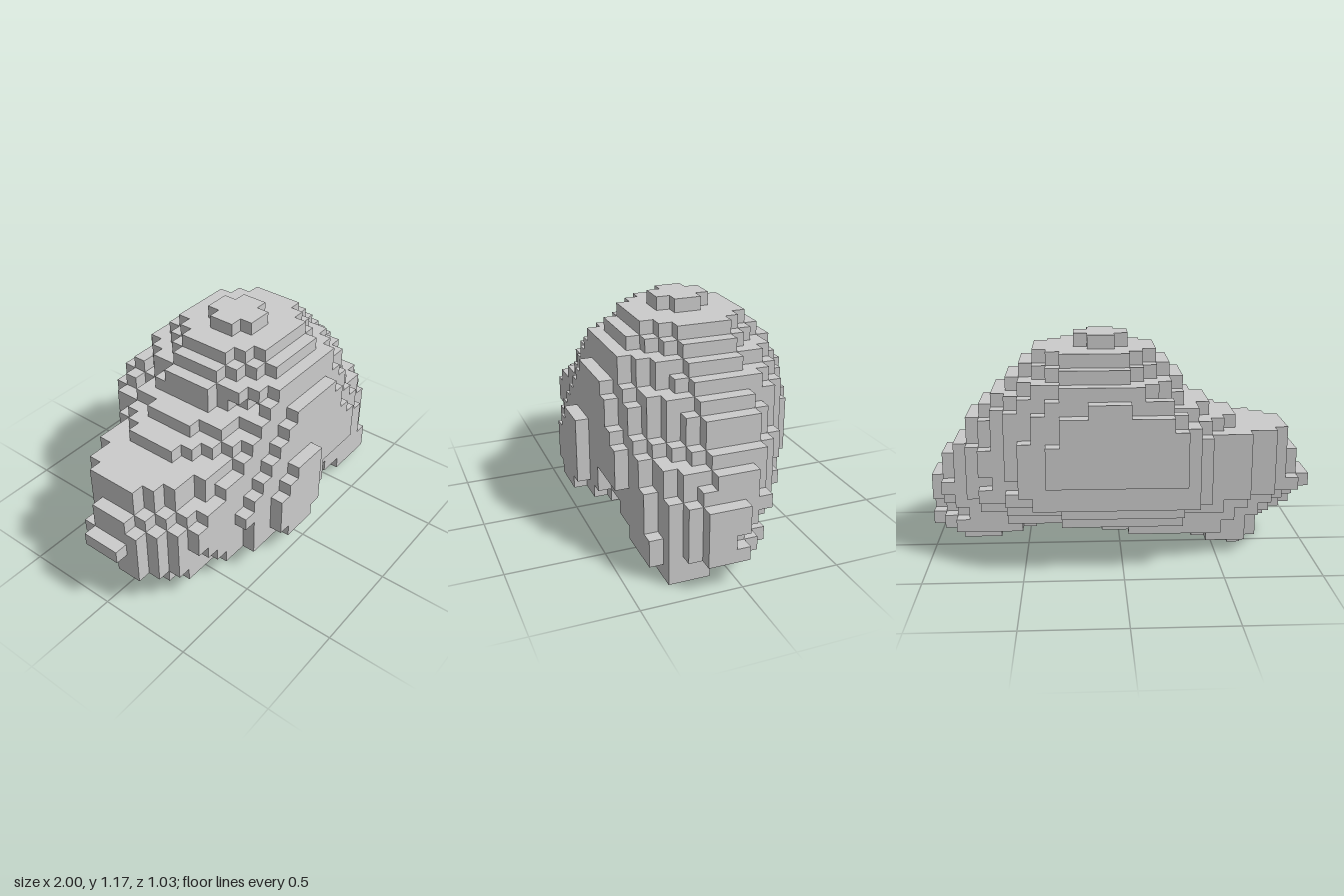
import * as THREE from 'three';
import { mergeGeometries } from 'three/addons/utils/BufferGeometryUtils.js';

const NX = 29, NY = 17, NZ = 15;
const S = 2 / NX; // edge of one block

// Rounded footprints per layer, from the ground up: x from, x to, z from, z to (in blocks)
const LAYERS = [
  [[5, 6, 7, 8], [24, 27, 9, 12]],
  [[4, 9, 5, 11], [22, 27, 8, 13]],
  [[3, 18, 4, 15], [20, 29, 5, 13]],
  [[1, 29, 3, 15]],
  [[1, 29, 2, 15]],
  [[0, 29, 1, 15]],
  [[1, 28, 1, 15]],
  [[1, 28, 0, 15]],
  [[2, 27, 0, 14]],
  [[2, 26, 0, 14]],
  [[6, 26, 0, 14]],
  [[8, 25, 0, 14]],
  [[10, 24, 0, 13]],
  [[10, 23, 1, 13]],
  [[11, 22, 2, 12]],
  [[12, 21, 3, 11]],
  [[14, 18, 5, 9]],
];

// Plan outline: x from, x to for each z slice, back to front
const PLAN = [
  [10, 20], [9, 22], [8, 23], [5, 25], [2, 26], [1, 28], [0, 28], [0, 29],
  [0, 29], [1, 29], [2, 28], [3, 27], [4, 26], [8, 22], [11, 16],
];

// Flat faces at the back and front: lowest layer, then x from, x to going up
const FACES = {
  0: { base: 7, rows: [[10, 20], [10, 20], [10, 20], [10, 19], [11, 19], [14, 17]] },
  1: { base: 5, rows: [[9, 21], [9, 22], [9, 22], [9, 22], [9, 22], [9, 21], [10, 21], [11, 20], [13, 19]] },
  12: {
    base: 1,
    rows: [[22, 26], [7, 26], [6, 25], [5, 25], [4, 25], [4, 24], [5, 24], [7, 23],
      [9, 22], [10, 22], [11, 21], [12, 20], [13, 20]],
  },
  13: {
    base: 2,
    rows: [[9, 17], [9, 18], [9, 18], [8, 22], [9, 22], [10, 22], [11, 21], [12, 20], [13, 20], [14, 19]],
  },
  14: { base: 2, rows: [[12, 15], [11, 16], [11, 16], [11, 16], [12, 16], [13, 16]] },
};

const within = (i, range) => range !== undefined && i >= range[0] && i < range[1];

// Rounded layer, tapering more towards the long tail on the right
function insideLayer(i, j, k, [x0, x1, z0, z1]) {
  const cx = j < 3 ? (x0 + x1) / 2 : Math.min(16.4, 12.3 + 0.36 * j);
  const cz = (z0 + z1) / 2;
  const dx = i + 0.5 - cx;
  const u = Math.abs(dx) / (dx < 0 ? cx - x0 : x1 - cx);
  const v = (k + 0.5 - cz) / (z1 - cz);
  const power = j < 3 || j > 12 ? 2 : dx < 0 ? 1.45 : 1.7;
  return u ** power + v * v <= 1;
}

// Whether the block at i, j, k is solid
function solid(i, j, k) {
  if (j < 0 || j >= NY || !within(i, PLAN[k])) return false;
  // gap between the belly and the foot
  if (j === 2 && (i === 18 || i === 19)) return false;
  const face = FACES[k];
  if (face) return within(i, face.rows[j - face.base]);
  return LAYERS[j].some((layer) => insideLayer(i, j, k, layer));
}

// One square for each of the six block sides, with its outward direction
function blockSides() {
  const sides = [];
  for (let q = 0; q < 4; q++) {
    const a = (q * Math.PI) / 2;
    sides.push({
      dir: [Math.round(Math.sin(a)), 0, Math.round(Math.cos(a))],
      face: new THREE.PlaneGeometry(S, S).translate(0, 0, S / 2).rotateY(a),
    });
  }
  for (const d of [1, -1]) {
    sides.push({
      dir: [0, d, 0],
      face: new THREE.PlaneGeometry(S, S).translate(0, 0, S / 2).rotateX((-d * Math.PI) / 2),
    });
  }
  return sides;
}

export function createModel() {
  const group = new THREE.Group();
  group.name = 'blockBoulder';

  // Outer skin: only the sides that touch open air
  const sides = blockSides();
  const skin = [];
  for (let j = 0; j < NY; j++)
    for (let k = 0; k < NZ; k++)
      for (let i = 0; i < NX; i++) {
        if (!solid(i, j, k)) continue;
        for (const { dir, face } of sides) {
          if (solid(i + dir[0], j + dir[1], k + dir[2])) continue;
          skin.push(face.clone().translate(
            (i + 0.5 - NX / 2) * S, (j + 0.5) * S, (k + 0.5 - NZ / 2) * S));
        }
      }

  const boulder = new THREE.Mesh(
    mergeGeometries(skin),
    new THREE.MeshStandardMaterial({ color: 0xcccccc, flatShading: true }));
  boulder.name = 'boulder';
  group.add(boulder);
  return group;
}
